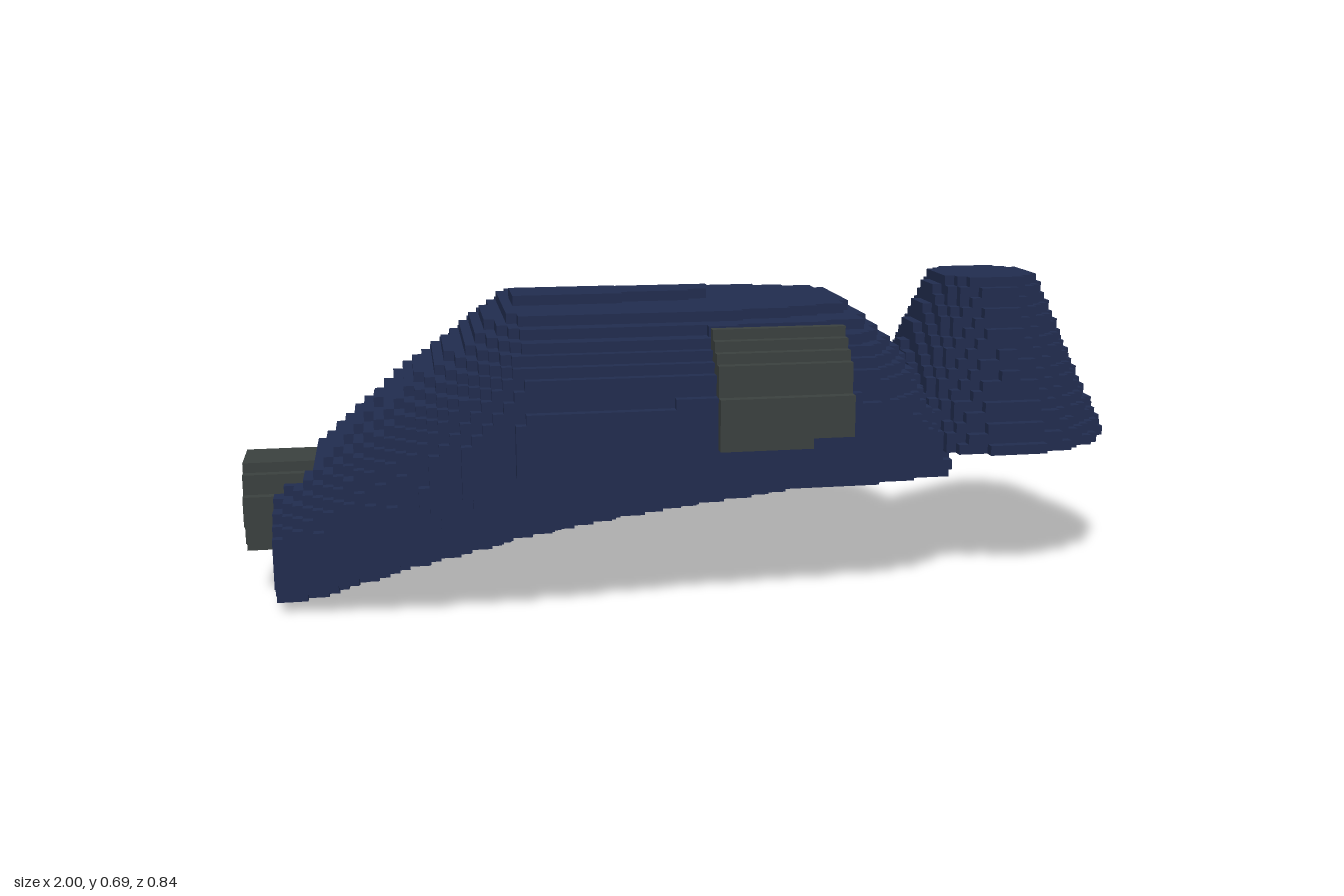
import * as THREE from 'three';

const V = 2 / 90; // edge length of one block

// Each block face: outward direction and its four corners, counter-clockwise
const FACES = [
  [[1, 0, 0], [[1, 0, 0], [1, 1, 0], [1, 1, 1], [1, 0, 1]]],
  [[-1, 0, 0], [[0, 0, 0], [0, 0, 1], [0, 1, 1], [0, 1, 0]]],
  [[0, 1, 0], [[0, 1, 0], [0, 1, 1], [1, 1, 1], [1, 1, 0]]],
  [[0, -1, 0], [[0, 0, 0], [1, 0, 0], [1, 0, 1], [0, 0, 1]]],
  [[0, 0, 1], [[0, 0, 1], [1, 0, 1], [1, 1, 1], [0, 1, 1]]],
  [[0, 0, -1], [[0, 0, 0], [0, 1, 0], [1, 1, 0], [1, 0, 0]]],
];

// Builds the visible faces of all blocks whose centre lies inside a solid
function blockMesh(name, material, inside) {
  const filled = (i, j, k) => inside((i + 0.5) * V, (j + 0.5) * V, (k + 0.5) * V);
  const positions = [], normals = [], index = [];
  for (let i = -45; i < 45; i++)
    for (let j = 0; j < 32; j++)
      for (let k = -20; k < 20; k++) {
        if (!filled(i, j, k)) continue;
        for (const [n, corners] of FACES) {
          if (filled(i + n[0], j + n[1], k + n[2])) continue;
          const b = positions.length / 3;
          for (const c of corners) {
            positions.push((i + c[0]) * V, (j + c[1]) * V, (k + c[2]) * V);
            normals.push(...n);
          }
          index.push(b, b + 1, b + 2, b, b + 2, b + 3);
        }
      }
  const g = new THREE.BufferGeometry();
  g.setAttribute('position', new THREE.Float32BufferAttribute(positions, 3));
  g.setAttribute('normal', new THREE.Float32BufferAttribute(normals, 3));
  g.setIndex(index);
  const mesh = new THREE.Mesh(g, material);
  mesh.name = name;
  return mesh;
}

// Linear interpolation through [x, value] points
function along(points, x) {
  let i = 1;
  while (i < points.length - 1 && x > points[i][0]) i++;
  const [x0, a] = points[i - 1], [x1, b] = points[i];
  return THREE.MathUtils.lerp(a, b, THREE.MathUtils.clamp((x - x0) / (x1 - x0), 0, 1));
}

// Hull outlines along its length
const hullTop = [[-0.93, 0.24], [-0.84, 0.31], [-0.76, 0.38], [-0.66, 0.47], [-0.53, 0.56],
  [-0.4, 0.657], [0.05, 0.6556], [0.34, 0.64], [0.4, 0.6], [0.46, 0.54], [0.5, 0.47], [0.578, 0.31]];
const hullBottom = [[-0.93, 0], [-0.85, 0.01], [-0.67, 0.07], [-0.4, 0.14], [-0.13, 0.185],
  [0.2, 0.225], [0.578, 0.23]];
const hullWidth = [[-0.93, 0.22], [-0.8, 0.27], [-0.66, 0.33], [-0.53, 0.37], [-0.4, 0.394],
  [0.35, 0.392], [0.44, 0.34], [0.5, 0.28], [0.53, 0.24], [0.578, 0.21]];

function insideHull(x, y, z) {
  if (x < -0.934 || x > 0.578) return false;
  const top = along(hullTop, x), bottom = along(hullBottom, x);
  const dy = Math.abs(y - (top + bottom) / 2) / ((top - bottom) / 2);
  const dz = Math.abs(z) / along(hullWidth, x);
  return dy ** 2.5 + dz ** 2.5 < 1;
}

// Truncated cone standing at the end of the hull
function insideCone(x, y, z) {
  if (y < 0.311 || y > 0.689) return false;
  const r = THREE.MathUtils.mapLinear(y, 0.322, 0.678, 0.286, 0.118);
  return Math.hypot(x - 0.711, z) < r;
}

// Round cap on the other end
const insideCap = (x, y, z) => x > -1 && x < -0.845 && Math.hypot(y - 0.211, z) < 0.108;

// Curved side panel rows: bottom, top, inner and outer depth
const panelRows = [[0.378, 0.489, 0.35, 0.422], [0.489, 0.556, 0.34, 0.4], [0.556, 0.578, 0.31, 0.378],
  [0.578, 0.6, 0.289, 0.356], [0.6, 0.622, 0.311, 0.333]];

function insidePanel(x, y, z) {
  if (x < 0 || x > 0.289 || (y < 0.4 && x > 0.2)) return false;
  return panelRows.some(([y0, y1, z0, z1]) => y > y0 && y < y1 && z > z0 && z < z1);
}

export function createModel() {
  const navy = new THREE.MeshStandardMaterial({ color: 0x222d50 });
  navy.name = 'navy';
  const grey = new THREE.MeshStandardMaterial({ color: 0x3c4240 });
  grey.name = 'darkGrey';

  const model = new THREE.Group();
  model.name = 'blockCraft';
  model.add(
    blockMesh('hull', navy, insideHull),
    blockMesh('cone', navy, insideCone),
    blockMesh('endCap', grey, insideCap),
    blockMesh('frontPanel', grey, insidePanel),
    blockMesh('backPanel', grey, (x, y, z) => insidePanel(x, y, -z)),
  );
  return model;
}
